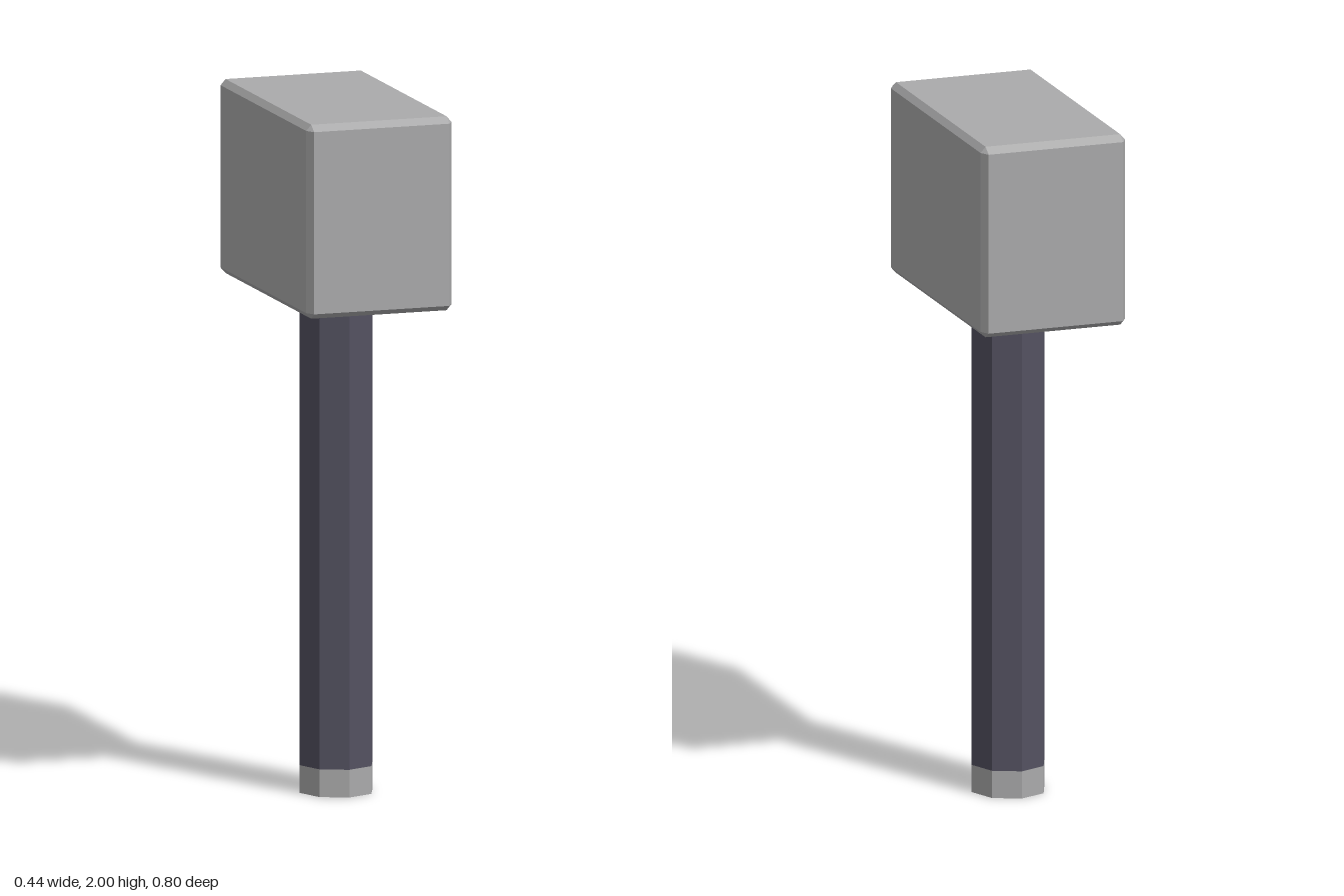
import * as THREE from 'three';
import { ConvexGeometry } from 'three/addons/geometries/ConvexGeometry.js';

const steel = new THREE.MeshStandardMaterial({ name: 'steel grey', color: 0xaaaaab, flatShading: true });
const grip = new THREE.MeshStandardMaterial({ name: 'dark grip', color: 0x535160, flatShading: true });

// Box with chamfered edges; half sizes h, chamfer insets c
function chamferedBox(h, c) {
  const points = [];
  for (const sx of [-1, 1]) for (const sy of [-1, 1]) for (const sz of [-1, 1]) {
    // each corner becomes three points, one on each adjoining face
    for (let face = 0; face < 3; face++) {
      const p = h.map((v, i) => (i === face ? v : v - c[i]));
      points.push(new THREE.Vector3(sx * p[0], sy * p[1], sz * p[2]));
    }
  }
  return new ConvexGeometry(points);
}

// Eight-sided, slightly oval length of shaft between two heights
function shaft(name, material, y0, y1) {
  const geometry = new THREE.CylinderGeometry(1, 1, y1 - y0, 8);
  geometry.scale(0.11, 1, 0.116);
  geometry.translate(0, (y0 + y1) / 2, 0);
  const mesh = new THREE.Mesh(geometry, material);
  mesh.name = name;
  return mesh;
}

export function createModel() {
  const hammer = new THREE.Group();
  hammer.name = 'hammer';

  // Heavy block head
  const head = new THREE.Mesh(chamferedBox([0.218, 0.28, 0.4], [0.015, 0.017, 0.026]), steel);
  head.name = 'head';
  head.position.y = 1.72;

  // Handle with a metal end cap
  hammer.add(head, shaft('handle', grip, 0.08, 1.45), shaft('endCap', steel, 0, 0.08));
  return hammer;
}
